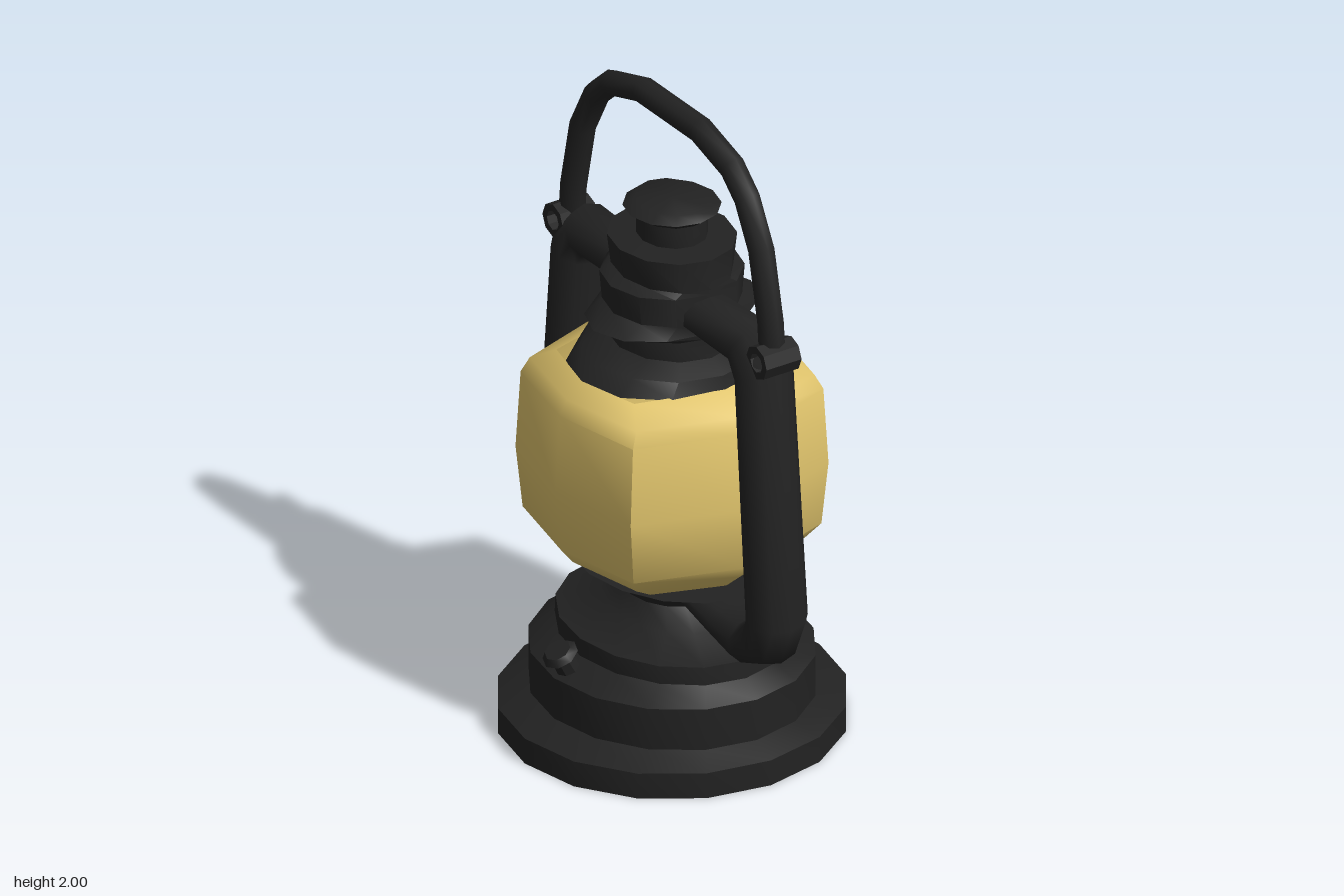
import * as THREE from 'three';
import { toCreasedNormals } from 'three/addons/utils/BufferGeometryUtils.js';

const black = new THREE.MeshStandardMaterial({ color: 0x222222, side: THREE.DoubleSide });
const amber = new THREE.MeshStandardMaterial({ color: 0xe0c46c, side: THREE.DoubleSide });

// Turned body with oval rows [half width x, half depth z, y], from bottom to top
function turned(name, rows, sides, material, crease = 0.75, reshape) {
  const geo = new THREE.LatheGeometry(rows.map(([rx, , y]) => new THREE.Vector2(rx, y)), sides);
  const pos = geo.attributes.position;
  for (let i = 0; i < pos.count; i++) {
    const [rx, rz] = rows[i % rows.length];
    if (rx > 0) pos.setZ(i, pos.getZ(i) * rz / rx);
    if (reshape) reshape(pos, i, Math.floor(i / rows.length));
  }
  geo.deleteAttribute('normal');
  const mesh = new THREE.Mesh(toCreasedNormals(geo, crease), material);
  mesh.name = name;
  return mesh;
}

// Pipe along points [z, y, half width x, half thickness] in the plane x = 0
function pipe(name, points, sides) {
  const verts = [], index = [], last = points.length - 1;
  const dir = (i) => new THREE.Vector2(points[i + 1][0] - points[i][0], points[i + 1][1] - points[i][1]).normalize();
  points.forEach(([z, y, rx, rn], i) => {
    const before = dir(Math.max(i - 1, 0)), after = dir(Math.min(i, last - 1));
    const t = before.clone().add(after).normalize();
    const r = rn / Math.max(t.dot(after), 0.6); // mitre the bends
    for (let j = 0; j < sides; j++) {
      const a = (j / sides) * Math.PI * 2;
      verts.push(rx * Math.sin(a), y - t.x * r * Math.cos(a), z + t.y * r * Math.cos(a));
      if (i < last) {
        const p = i * sides + j, q = i * sides + (j + 1) % sides;
        index.push(p, q, p + sides, q, q + sides, p + sides);
      }
    }
  });
  const geo = new THREE.BufferGeometry();
  geo.setAttribute('position', new THREE.Float32BufferAttribute(verts, 3));
  geo.setIndex(index);
  geo.computeVertexNormals();
  const mesh = new THREE.Mesh(geo, black);
  mesh.name = name;
  return mesh;
}

export function createModel() {
  const lantern = new THREE.Group();
  lantern.name = 'lantern';

  // Fuel tank, neck and the dish that carries the glass
  lantern.add(turned('base', [
    [0, 0, 0.005], [0.505, 0.5, 0.005], [0.505, 0.5, 0.085], [0.405, 0.43, 0.12],
    [0.405, 0.43, 0.25], [0.315, 0.375, 0.295], [0.315, 0.37, 0.35], [0.18, 0.23, 0.385],
    [0.14, 0.16, 0.44], [0.175, 0.2, 0.495], [0.285, 0.36, 0.55], [0, 0, 0.55],
  ], 16, black));

  // Faceted glass, its diagonal corners pushed outward
  lantern.add(turned('glass', [
    [0.24, 0.27, 0.545], [0.34, 0.34, 0.605], [0.38, 0.385, 0.655], [0.4, 0.4, 0.85],
    [0.385, 0.39, 1.09], [0.36, 0.37, 1.135], [0.31, 0.27, 1.18],
  ], 8, amber, 1.0, (pos, i, column) => {
    if (column % 2) {
      pos.setX(i, pos.getX(i) * 1.2);
      pos.setZ(i, pos.getZ(i) * 1.03);
    }
  }));

  // Hood and chimney with louvres that stand out at the sides
  lantern.add(turned('chimney', [
    [0, 0, 1.17], [0.315, 0.27, 1.175], [0.26, 0.26, 1.22], [0.18, 0.2, 1.25],
    [0.18, 0.195, 1.31], [0.27, 0.2, 1.33], [0.2, 0.2, 1.365], [0.21, 0.2, 1.455],
    [0.165, 0.2, 1.47], [0.18, 0.2, 1.565], [0.1, 0.11, 1.57], [0.1, 0.11, 1.635],
    [0.14, 0.145, 1.66], [0.1, 0.12, 1.68], [0, 0, 1.68],
  ], 12, black));

  // Filler stem and cap on the right shoulder of the tank
  const filler = turned('fillerCap', [
    [0.04, 0.04, -0.06], [0.035, 0.035, 0.065], [0.055, 0.055, 0.08], [0.04, 0.04, 0.1], [0, 0, 0.1],
  ], 8, black);
  filler.position.set(-0.345, 0.25, 0);
  filler.rotation.z = 0.5;
  lantern.add(filler);

  // Side arm with its handle eye, repeated at front and back
  for (const [side, turn] of [['front', 0], ['back', Math.PI]]) {
    const half = new THREE.Group();
    half.name = side + 'Arm';
    half.add(pipe(side + 'ArmTube', [
      [0.12, 0.49, 0.08, 0.04], [0.3, 0.455, 0.085, 0.055], [0.42, 0.443, 0.095, 0.068],
      [0.495, 0.475, 0.095, 0.072], [0.53, 0.56, 0.095, 0.075], [0.465, 1.32, 0.09, 0.075],
      [0.41, 1.39, 0.085, 0.07], [0.15, 1.385, 0.085, 0.06],
    ], 10));
    const eye = turned(side + 'HandleEye', [
      [0.03, 0.03, -0.06], [0.052, 0.052, -0.06], [0.052, 0.052, 0.06], [0.03, 0.03, 0.06], [0.03, 0.03, -0.06],
    ], 8, black);
    eye.rotation.z = Math.PI / 2;
    eye.position.set(0, 1.392, 0.515);
    half.add(eye);
    half.rotation.y = turn;
    lantern.add(half);
  }

  // Carrying handle, mirrored from one half
  const bow = [[0.505, 1.42], [0.498, 1.5], [0.452, 1.71], [0.38, 1.845], [0.305, 1.913], [0.145, 1.962]];
  const arch = [...bow, ...bow.map(([z, y]) => [-z, y]).reverse()];
  lantern.add(pipe('handle', arch.map(([z, y]) => [z, y, 0.039, 0.038]), 8));

  return lantern;
}
